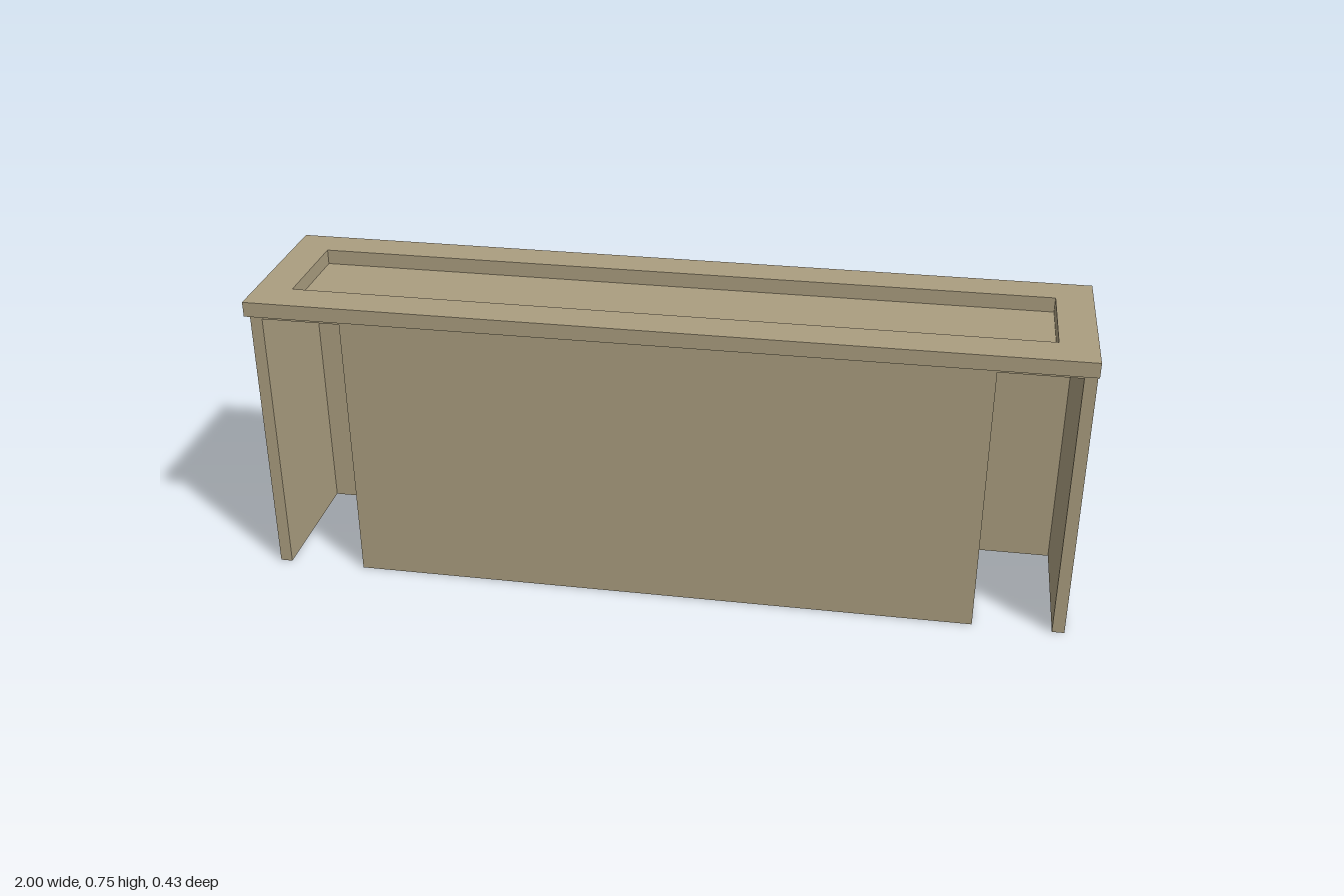
import * as THREE from 'three';

const BACK = -0.217, FRONT = 0.183, LIP = 0.217;

// Extrude a floor plan given as [x, z] points from y0 up to y1.
function extrudePlan(points, y0, y1, hole) {
  const toVectors = (list) => list.map(([x, z]) => new THREE.Vector2(x, -z));
  const shape = new THREE.Shape(toVectors(points));
  if (hole) shape.holes.push(new THREE.Path(toVectors(hole)));
  const geometry = new THREE.ExtrudeGeometry(shape, { depth: y1 - y0, bevelEnabled: false });
  return geometry.rotateX(-Math.PI / 2).translate(0, y0, 0);
}

const rectangle = (x, z0, z1) => [[-x, z1], [x, z1], [x, z0], [-x, z0]];

export function createModel() {
  const group = new THREE.Group();
  group.name = 'counter';
  const tan = new THREE.MeshStandardMaterial({ color: 0xab9e80 });
  tan.name = 'tan';

  const add = (name, geometry) => {
    const mesh = new THREE.Mesh(geometry, tan);
    mesh.name = name;
    group.add(mesh);
  };

  // Body: side panels, back wall and centre block with a niche on each side
  const panel = 0.97, block = 0.777, nicheBack = -0.165;
  const half = [[block, FRONT], [block, nicheBack], [panel, nicheBack], [panel, FRONT], [1, FRONT], [1, BACK]];
  const mirrored = half.map(([x, z]) => [-x, z]).reverse();
  add('body', extrudePlan([...half, ...mirrored], 0, 0.69));

  // Header closing the niches; its top is the floor of the tray
  add('header', extrudePlan(rectangle(1, BACK, FRONT), 0.69, 0.71));

  // Top frame with a front overhang and a sunken tray
  add('topFrame', extrudePlan(rectangle(1, BACK, LIP), 0.71, 0.747, rectangle(0.91, -0.128, 0.122)));

  return group;
}
